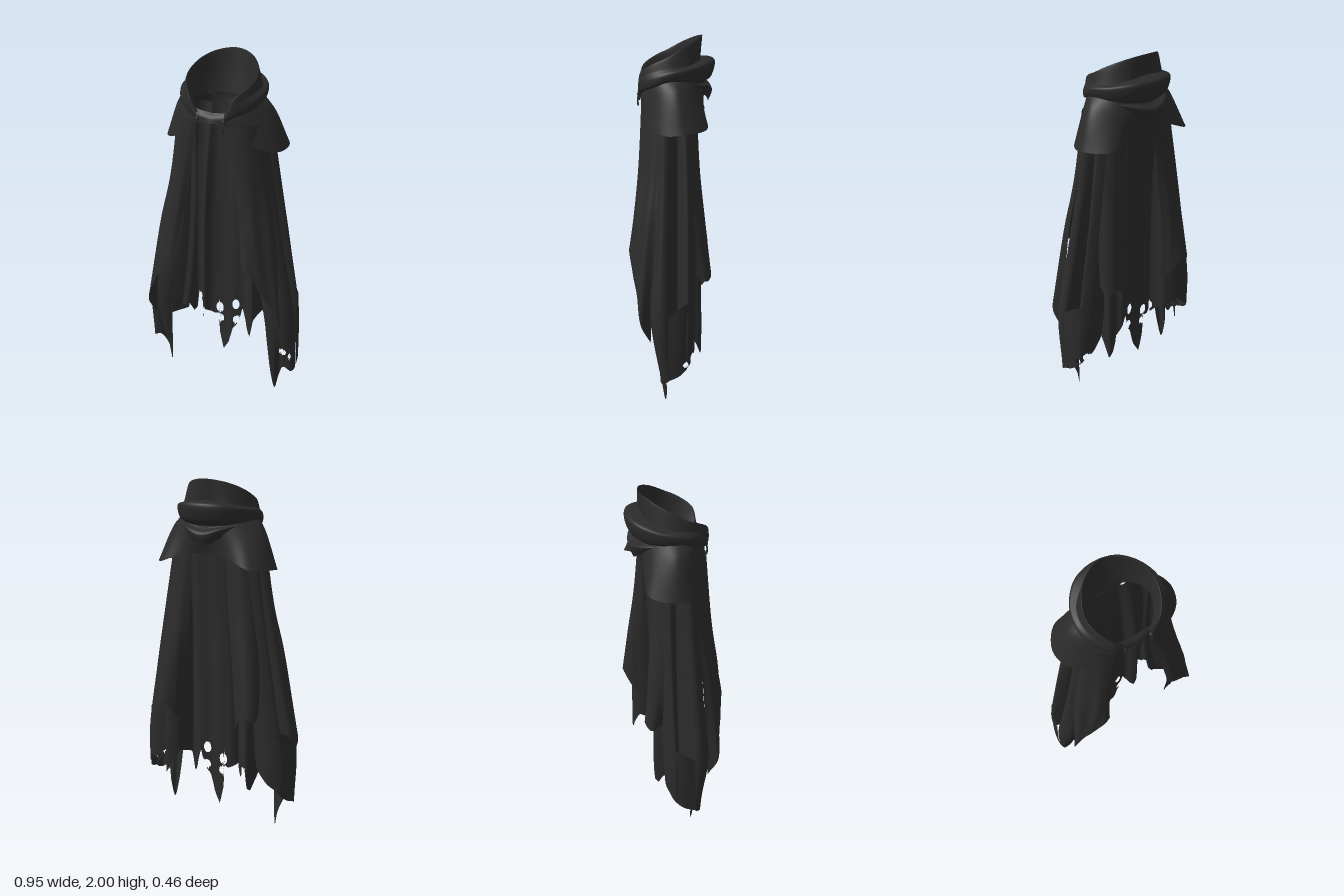
import * as THREE from 'three';

const cloth = new THREE.MeshStandardMaterial({ color: 0x2b2b2b, side: THREE.DoubleSide });
cloth.name = 'charcoalCloth';

const V = (p) => new THREE.Vector3(...p);
// level row: one height, list of [x, z]
const level = (y, pts) => pts.map(([x, z]) => [x, y, z]);
// mirror a half row that starts at the back centre
const whole = (row) => [...row.slice(1).reverse().map(([x, y, z]) => [-x, y, z]), ...row];
// piecewise linear lookup
function lookup(table, x) {
  let i = 1;
  while (i < table.length - 1 && table[i][0] < x) i++;
  const [a, b] = [table[i - 1], table[i]];
  return THREE.MathUtils.lerp(a[1], b[1], THREE.MathUtils.clamp((x - a[0]) / (b[0] - a[0]), 0, 1));
}

// cloth sheet lofted through rows of points, with pleats, ragged hem and torn holes
function sheet(name, rows, { nu = 60, nv = 40, side = 1, fold = () => 0, hem = () => 1, holes = [] } = {}) {
  const across = rows.map((r) => new THREE.CatmullRomCurve3(r.map(V)));
  const pos = [], idx = [], p = new THREE.Vector3();
  for (let i = 0; i <= nu; i++) {
    const u = i / nu;
    const ends = across.map((c) => c.getPoint(u));
    const down = new THREE.CatmullRomCurve3(ends);
    const reach = hem(ends[ends.length - 1].x);
    for (let j = 0; j <= nv; j++) {
      const v = j / nv;
      down.getPoint(v * reach, p);
      p.x *= side;
      const d = 1 + fold(u, v) / Math.hypot(p.x, p.z);
      p.x *= d;
      p.z *= d;
      // pull nearby points onto the rim of a hole
      for (const [x, y, rx, ry] of holes) {
        const r = Math.hypot((p.x - x) / rx, (p.y - y) / ry);
        if (Math.abs(r - 1) < 0.25) {
          p.x = x + (p.x - x) / r;
          p.y = y + (p.y - y) / r;
        }
      }
      pos.push(p.x, p.y, p.z);
    }
  }
  const torn = (...ids) => {
    const cx = ids.reduce((s, k) => s + pos[3 * k], 0) / 3;
    const cy = ids.reduce((s, k) => s + pos[3 * k + 1], 0) / 3;
    return holes.some(([x, y, rx, ry]) => Math.hypot((cx - x) / rx, (cy - y) / ry) < 1);
  };
  for (let i = 0; i < nu; i++) for (let j = 0; j < nv; j++) {
    const a = i * (nv + 1) + j, b = a + nv + 1;
    for (const t of [[a, b, a + 1], [b, b + 1, a + 1]]) {
      if (!torn(...t)) idx.push(...(side > 0 ? t : [t[0], t[2], t[1]]));
    }
  }
  const g = new THREE.BufferGeometry();
  g.setAttribute('position', new THREE.Float32BufferAttribute(pos, 3));
  g.setIndex(idx);
  g.computeVertexNormals();
  const m = new THREE.Mesh(g, cloth);
  m.name = name;
  return m;
}

const pleats = (n, amp) => (u, v) => amp * (0.35 + 0.65 * v) * (Math.sin(u * n * Math.PI * 2) + 0.4 * Math.sin(u * n * 4.7 + 1));

export function createModel() {
  const root = new THREE.Group();
  root.name = 'tatteredCloak';

  // back panel with deep side pleats, ragged hem and centre tail
  const backHem = [[-0.31, 0.45], [-0.3, 0.37], [-0.285, 0.28], [-0.27, 0.3], [-0.25, 0.43], [-0.22, 0.35], [-0.2, 0.4],
    [-0.17, 0.32], [-0.15, 0.38], [-0.1, 0.35], [-0.075, 0.36], [-0.065, 0.22], [-0.035, 0.1], [0, 0.17], [0.03, 0.28],
    [0.06, 0.32], [0.08, 0.43], [0.1, 0.36], [0.15, 0.26], [0.17, 0.38], [0.2, 0.42], [0.23, 0.36], [0.28, 0.26], [0.3, 0.4]];
  root.add(sheet('backPanel', [
    level(1.7, [[0, -0.135], [0.08, -0.135], [0.13, -0.115], [0.17, -0.12], [0.2, -0.11], [0.22, -0.08]]),
    level(1.3, [[0, -0.105], [0.09, -0.105], [0.145, -0.065], [0.18, -0.125], [0.23, -0.125], [0.26, -0.08]]),
    level(0.9, [[0, -0.09], [0.1, -0.09], [0.155, -0.045], [0.195, -0.14], [0.255, -0.155], [0.29, -0.08]]),
    level(0.5, [[0, -0.08], [0.1, -0.085], [0.16, -0.045], [0.2, -0.14], [0.265, -0.168], [0.3, -0.07]]),
    level(0.1, [[0, -0.068], [0.1, -0.08], [0.165, -0.05], [0.205, -0.14], [0.27, -0.17], [0.31, -0.07]]),
  ].map(whole), {
    nu: 180, nv: 130, fold: pleats(9, 0.004),
    hem: (x) => (1.7 - lookup(backHem, x)) / 1.6,
    holes: [[0.043, 0.45, 0.022, 0.035], [-0.065, 0.4, 0.024, 0.036], [0.055, 0.34, 0.03, 0.03], [-0.062, 0.325, 0.026, 0.03],
      [-0.16, 0.37, 0.012, 0.03], [-0.235, 0.4, 0.012, 0.022]],
  }));

  for (const side of [1, -1]) {
    const tag = side > 0 ? 'left' : 'right';
    const holes = side > 0 ? [[0.41, 0.31, 0.022, 0.025], [0.45, 0.28, 0.008, 0.02]] : [];

    // side pleat folding back inward, ending in a long point
    root.add(sheet(tag + 'SidePleat', [
      level(1.68, [[0.15, 0.14], [0.17, 0.13], [0.19, 0.12], [0.215, 0.1], [0.24, 0.07], [0.257, 0.03], [0.25, 0], [0.22, -0.03], [0.19, -0.06]]),
      level(1.3, [[0.17, 0.12], [0.195, 0.118], [0.22, 0.11], [0.25, 0.095], [0.285, 0.07], [0.314, 0.035], [0.3, 0.005], [0.25, -0.015], [0.19, -0.06]]),
      level(0.9, [[0.23, 0.1], [0.26, 0.105], [0.29, 0.105], [0.32, 0.098], [0.357, 0.085], [0.39, 0.045], [0.375, 0.012], [0.3, 0], [0.21, -0.06]]),
      level(0.5, [[0.3, 0.09], [0.33, 0.105], [0.355, 0.11], [0.385, 0.108], [0.43, 0.1], [0.465, 0.055], [0.455, 0.015], [0.36, 0.005], [0.25, -0.06]]),
      [[0.312, 0.38, 0.085], [0.335, 0.1, 0.05], [0.353, 0, 0.03], [0.375, 0.1, 0.022], [0.415, 0.19, 0.055], [0.46, 0.17, 0.05], [0.472, 0.19, 0.012], [0.4, 0.3, 0.005], [0.27, 0.36, -0.06]],
    ], { nu: 100, nv: 70, side, holes }));

    // rear pleat behind the side slit
    root.add(sheet(tag + 'RearPleat', [
      level(1.68, [[0.19, -0.03], [0.235, -0.045], [0.248, -0.07], [0.22, -0.1], [0.17, -0.125]]),
      level(1.3, [[0.19, -0.03], [0.28, -0.05], [0.31, -0.085], [0.27, -0.115], [0.2, -0.125]]),
      level(0.9, [[0.21, -0.03], [0.33, -0.055], [0.38, -0.09], [0.33, -0.125], [0.25, -0.13]]),
      level(0.5, [[0.25, -0.03], [0.38, -0.055], [0.445, -0.09], [0.39, -0.13], [0.29, -0.125]]),
      [[0.27, 0.4, -0.03], [0.39, 0.33, -0.055], [0.45, 0.28, -0.09], [0.38, 0.33, -0.13], [0.31, 0.4, -0.125]],
    ], { nv: 60, side, holes }));

    // narrow strip bridging the slit near the hem
    root.add(sheet(tag + 'SideStrip', [
      [[0.385, 0.62, -0.128], [0.425, 0.64, -0.1], [0.45, 0.62, -0.05], [0.458, 0.56, 0.015]],
      [[0.388, 0.45, -0.13], [0.432, 0.43, -0.102], [0.463, 0.4, -0.05], [0.47, 0.38, 0.015]],
      [[0.39, 0.34, -0.13], [0.437, 0.27, -0.102], [0.466, 0.22, -0.05], [0.474, 0.19, 0.015]],
    ], { nu: 24, nv: 20, side, holes }));

    // front flap with a forward corner and slanted hem
    root.add(sheet(tag + 'FrontFlap', [
      level(1.68, [[0.09, 0.155], [0.13, 0.155], [0.17, 0.14], [0.21, 0.11], [0.235, 0.07], [0.25, 0.04]]),
      level(1.3, [[0.14, 0.16], [0.18, 0.178], [0.22, 0.165], [0.26, 0.13], [0.29, 0.09], [0.3, 0.06]]),
      level(1.05, [[0.18, 0.185], [0.22, 0.205], [0.26, 0.195], [0.3, 0.16], [0.34, 0.12], [0.345, 0.08]]),
      [[0.2, 0.89, 0.215], [0.25, 0.87, 0.23], [0.31, 0.76, 0.205], [0.37, 0.66, 0.185], [0.425, 0.5, 0.16], [0.405, 0.39, 0.11]],
    ], { side, fold: pleats(3, 0.003) }));

    // back flap
    root.add(sheet(tag + 'BackFlap', [
      level(1.68, [[0.1, -0.13], [0.14, -0.135], [0.18, -0.125], [0.22, -0.09], [0.245, -0.04]]),
      level(1.3, [[0.12, -0.13], [0.17, -0.155], [0.21, -0.155], [0.26, -0.125], [0.29, -0.08]]),
      level(1.0, [[0.15, -0.14], [0.19, -0.18], [0.25, -0.19], [0.3, -0.155], [0.32, -0.11]]),
      [[0.17, 0.6, -0.13], [0.2, 0.66, -0.185], [0.26, 0.74, -0.222], [0.32, 0.72, -0.195], [0.315, 0.75, -0.13]],
    ], { side, fold: pleats(2, 0.003) }));

    // clasp knot and its short cord
    const knot = new THREE.Mesh(new THREE.SphereGeometry(0.012, 12, 8), cloth);
    knot.name = tag + 'Knot';
    knot.position.set(side * 0.075, 1.7, 0.17);
    const cord = new THREE.Mesh(new THREE.TubeGeometry(new THREE.CatmullRomCurve3(
      [[0.075, 1.7, 0.172], [0.08, 1.675, 0.178], [0.074, 1.64, 0.176]].map(([x, y, z]) => V([side * x, y, z]))), 8, 0.005, 6), cloth);
    cord.name = tag + 'Cord';
    root.add(knot, cord);
  }

  // shoulder mantle
  root.add(sheet('shoulderMantle', [
    [[0, 1.82, -0.16], [0.1, 1.82, -0.14], [0.17, 1.82, -0.09], [0.2, 1.81, -0.02], [0.2, 1.8, 0.05], [0.16, 1.77, 0.11], [0.08, 1.74, 0.14], [0, 1.73, 0.142]],
    [[0, 1.73, -0.18], [0.12, 1.73, -0.165], [0.21, 1.73, -0.12], [0.27, 1.735, -0.04], [0.255, 1.73, 0.03], [0.185, 1.72, 0.105], [0.09, 1.715, 0.155], [0, 1.71, 0.165]],
    [[0, 1.61, -0.15], [0.13, 1.6, -0.175], [0.27, 1.55, -0.185], [0.35, 1.54, -0.07], [0.33, 1.53, 0.03], [0.24, 1.56, 0.11], [0.09, 1.67, 0.16], [0, 1.685, 0.175]],
  ].map(whole), { nu: 120, nv: 24 }));

  // standing collar, inside to rim to outer tuck
  const tuck = [[0, 1.89, -0.155], [0.11, 1.88, -0.145], [0.185, 1.86, -0.08], [0.21, 1.85, 0], [0.19, 1.83, 0.09], [0.13, 1.785, 0.165], [0.08, 1.725, 0.175]];
  root.add(sheet('standingCollar', [
    [[0, 1.76, -0.13], [0.09, 1.76, -0.11], [0.15, 1.76, -0.06], [0.17, 1.76, 0], [0.15, 1.75, 0.07], [0.1, 1.72, 0.13], [0.06, 1.715, 0.15]],
    [[0, 1.88, -0.15], [0.1, 1.87, -0.12], [0.16, 1.85, -0.06], [0.175, 1.83, 0], [0.158, 1.8, 0.075], [0.11, 1.76, 0.135], [0.07, 1.725, 0.155]],
    [[0, 2, -0.165], [0.1, 1.985, -0.13], [0.165, 1.95, -0.06], [0.19, 1.905, 0.02], [0.172, 1.87, 0.095], [0.125, 1.82, 0.16], [0.075, 1.735, 0.165]],
    tuck,
  ].map(whole), { nu: 120, nv: 40 }));

  // folded hood resting on the shoulders
  root.add(sheet('hoodFolds', [
    tuck,
    [[0, 1.875, -0.23], [0.12, 1.87, -0.2], [0.205, 1.85, -0.11], [0.235, 1.83, 0], [0.21, 1.8, 0.09], [0.14, 1.755, 0.16], [0.08, 1.715, 0.177]],
    [[0, 1.79, -0.215], [0.12, 1.79, -0.185], [0.2, 1.79, -0.1], [0.228, 1.79, 0], [0.205, 1.76, 0.09], [0.14, 1.73, 0.15], [0.08, 1.7, 0.17]],
    [[0, 1.755, -0.175], [0.11, 1.765, -0.16], [0.19, 1.775, -0.09], [0.21, 1.78, 0], [0.18, 1.75, 0.08], [0.12, 1.725, 0.13], [0.07, 1.7, 0.155]],
    [[0, 1.72, -0.22], [0.1, 1.745, -0.195], [0.185, 1.765, -0.1], [0.21, 1.772, 0], [0.18, 1.748, 0.08], [0.12, 1.722, 0.13], [0.07, 1.7, 0.155]],
    [[0, 1.65, -0.2], [0.08, 1.69, -0.185], [0.17, 1.755, -0.1], [0.2, 1.768, 0], [0.175, 1.745, 0.08], [0.12, 1.72, 0.13], [0.07, 1.7, 0.155]],
  ].map(whole), { nu: 120, nv: 60 }));

  return root;
}
